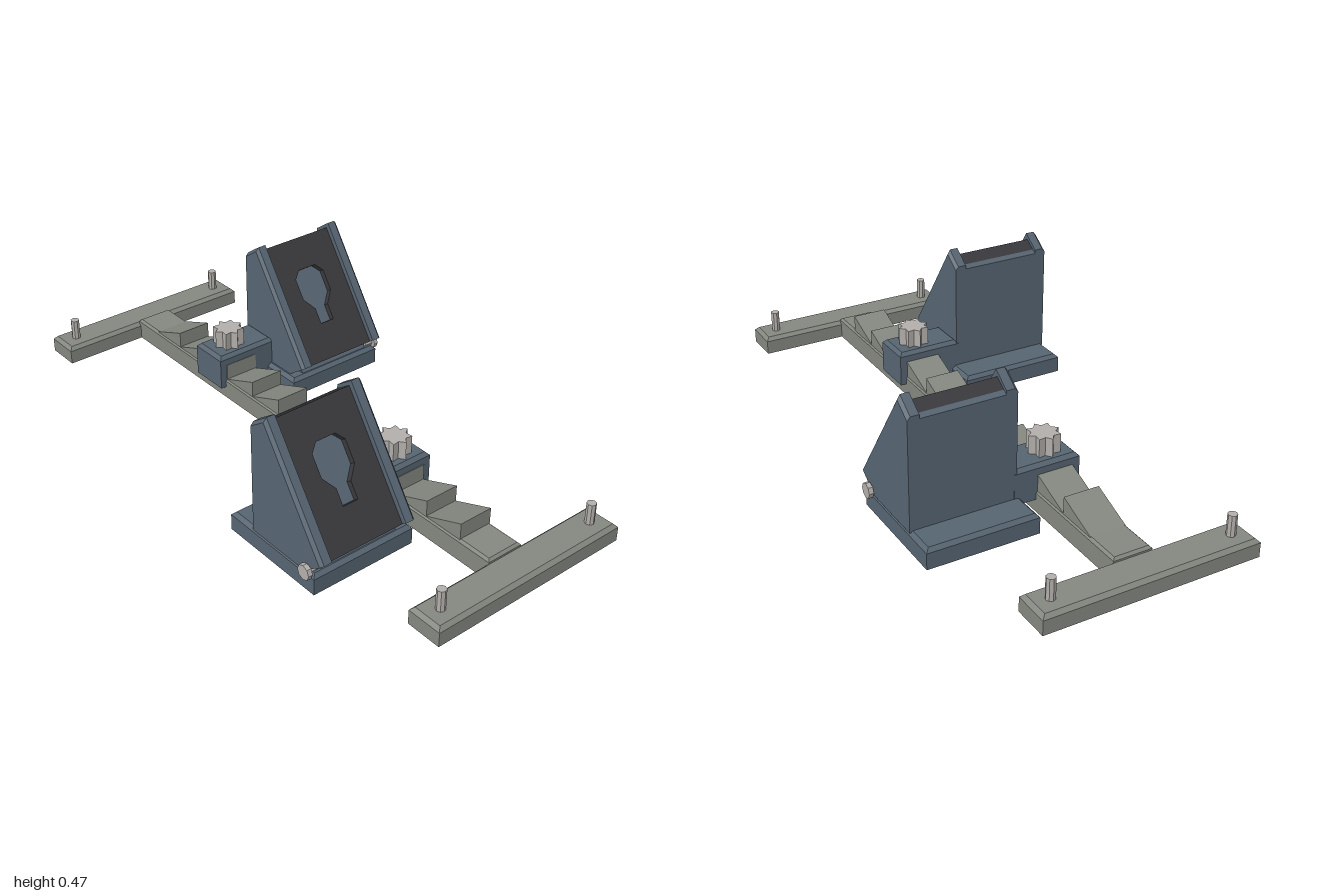
import * as THREE from 'three';

const flat = (name, color) => Object.assign(new THREE.MeshStandardMaterial({ color, flatShading: true }), { name });

export function createModel() {
  const slate = flat('slate blue', 0x566471);
  const charcoal = flat('charcoal', 0x39393d);
  const stone = flat('stone grey', 0x83877f);
  const steel = flat('pale steel', 0xb2aeaa);
  const model = new THREE.Group();
  model.name = 'adjustableStandRack';

  const add = (parent, name, geo, mat, x = 0, y = 0, z = 0) => {
    const m = new THREE.Mesh(geo, mat);
    m.name = name;
    m.position.set(x, y, z);
    parent.add(m);
    return m;
  };

  // Box standing on y = 0 with its top edges chamfered
  const chamferBox = (w, h, d, c) => {
    const g = new THREE.BoxGeometry(w, h, d, 1, 2, 1);
    const p = g.attributes.position;
    for (let i = 0; i < p.count; i++) {
      const y = p.getY(i);
      if (Math.abs(y) < 1e-5) p.setY(i, h / 2 - c);
      else if (y > 0) {
        p.setX(i, p.getX(i) - Math.sign(p.getX(i)) * c);
        p.setZ(i, p.getZ(i) - Math.sign(p.getZ(i)) * c);
      }
    }
    g.translate(0, h / 2, 0);
    g.computeVertexNormals();
    return g;
  };

  // Extrude a (z, y) profile along +x from 0 to width
  const profileX = (pts, width, steps = 1) => {
    const shape = new THREE.Shape(pts.map(([z, y]) => new THREE.Vector2(-z, y)));
    return new THREE.ExtrudeGeometry(shape, { depth: width, bevelEnabled: false, steps }).rotateY(Math.PI / 2);
  };

  // Rail with a sawtooth rack on top
  add(model, 'rail', chamferBox(0.13, 0.072, 1.78, 0.008), stone);
  for (let i = 0; i < 11; i++) {
    const z = 0.77 - i * 0.14;
    add(model, 'rackTooth', profileX([[z, 0.06], [z, 0.126], [z - 0.14, 0.071], [z - 0.14, 0.06]], 0.12), stone, -0.06);
  }

  // End bars with upright pegs
  for (const s of [-1, 1]) {
    add(model, 'endBar', chamferBox(0.72, 0.06, 0.12, 0.012), stone, 0, 0, s * 0.94);
    for (const x of [-0.3, 0.3])
      add(model, 'peg', new THREE.CylinderGeometry(0.015, 0.015, 0.08, 8), steel, x, 0.09, s * 0.94);
  }

  // Slope of the stand face: up along the face, and out of it
  const tilt = 0.607, cos = Math.cos(tilt), sin = Math.sin(tilt);

  // Side flange; the outer edge of the face and top is chamfered
  const flange = (width, outward) => {
    const c = 0.01;
    const pts = [[-0.43, 0.475], [-0.49, 0.433], [-0.49, 0.06], [-0.26, 0.06], [-0.18, 0.115]];
    const g = profileX(pts, width, 2);
    const p = g.attributes.position;
    for (let i = 0; i < p.count; i++) {
      const x = p.getX(i), y = p.getY(i), z = p.getZ(i);
      const fromOuter = outward > 0 ? width - x : x;
      if (Math.abs(x - width / 2) < 1e-5) p.setX(i, outward > 0 ? width - c : c);
      else if (fromOuter < 1e-5) {
        if (z > -0.435 && z < -0.425) p.setXYZ(i, x, y - c * (sin + cos), z - c * (cos - sin));
        else if (z > -0.2) p.setXYZ(i, x, y - c * sin, z - c * cos);
        else if (y > 0.4) p.setY(i, y - c * 1.2);
      }
    }
    g.computeVertexNormals();
    return g;
  };

  // Keyhole outline, x from its centre and distance up the face
  const half = [[0.035, 0.319], [0.06, 0.292], [0.06, 0.219], [0.027, 0.177], [0.027, 0.122]];
  const keyhole = [...half, ...half.map(([x, y]) => [-x, y]).reverse()].map(([x, y]) => new THREE.Vector2(x, y));
  const slab = (depth, hole) => {
    const s = new THREE.Shape([[-0.138, 0], [0.138, 0], [0.138, 0.426], [-0.138, 0.426]].map(([x, y]) => new THREE.Vector2(x, y)));
    if (hole) s.holes.push(new THREE.Path(keyhole));
    return new THREE.ExtrudeGeometry(s, { depth, bevelEnabled: false });
  };

  // Star knob outline
  const star = new THREE.Shape(Array.from({ length: 16 }, (_, i) => {
    const r = i % 2 ? 0.037 : 0.053, a = i * Math.PI / 8;
    return new THREE.Vector2(r * Math.cos(a), r * Math.sin(a));
  }));

  // One stand with its clamp; side = +1 or -1 puts it left or right of the rail
  const stand = (side, dz) => {
    const g = new THREE.Group();
    g.name = side > 0 ? 'leftStand' : 'rightStand';
    g.position.z = dz;
    model.add(g);
    const cx = side * 0.3075;

    add(g, 'standBase', chamferBox(0.37, 0.066, 0.385, 0.012), slate, side * 0.3, 0, -0.4025);
    const core = [[-0.475, 0.43], [-0.49, 0.42], [-0.49, 0.06], [-0.222, 0.06]];
    add(g, 'standCore', profileX(core, 0.28), slate, cx - 0.14);
    add(g, 'sideFlange', flange(0.038, -1), slate, cx - 0.1755);
    add(g, 'sideFlange', flange(0.038, 1), slate, cx + 0.1375);

    // Tilted face panel with a keyhole recess
    const panel = new THREE.Group();
    panel.name = 'facePanel';
    panel.position.set(cx, 0.105, -0.195);
    panel.rotation.x = -tilt;
    g.add(panel);
    add(panel, 'panelFront', slab(0.022, true), charcoal, 0, 0, -0.022);
    add(panel, 'panelBacking', slab(0.023, false), charcoal, 0, 0, -0.045);
    add(panel, 'keyholeFloor', new THREE.ExtrudeGeometry(new THREE.Shape(keyhole), { depth: 0.004, bevelEnabled: false }), slate, 0, 0, -0.025);

    // Hinge screw on the outer side
    const shaft = add(g, 'hingeShaft', new THREE.CylinderGeometry(0.012, 0.012, 0.04, 8), steel, side * 0.475, 0.07, -0.24);
    const head = add(g, 'hingeHead', new THREE.CylinderGeometry(0.025, 0.025, 0.015, 8), steel, side * 0.4925, 0.07, -0.24);
    shaft.rotation.z = head.rotation.z = Math.PI / 2;

    // Clamp block over the rail with its star knob
    add(g, 'clampBlock', chamferBox(0.225, 0.118, 0.138, 0.012), slate, side * 0.0275, 0.042, -0.422);
    const knob = add(g, 'starKnob', new THREE.ExtrudeGeometry(star, { depth: 0.066, bevelEnabled: false }), steel, 0, 0.155, -0.422);
    knob.rotation.x = -Math.PI / 2;
  };
  stand(1, 0);
  stand(-1, 0.84);

  return model;
}
